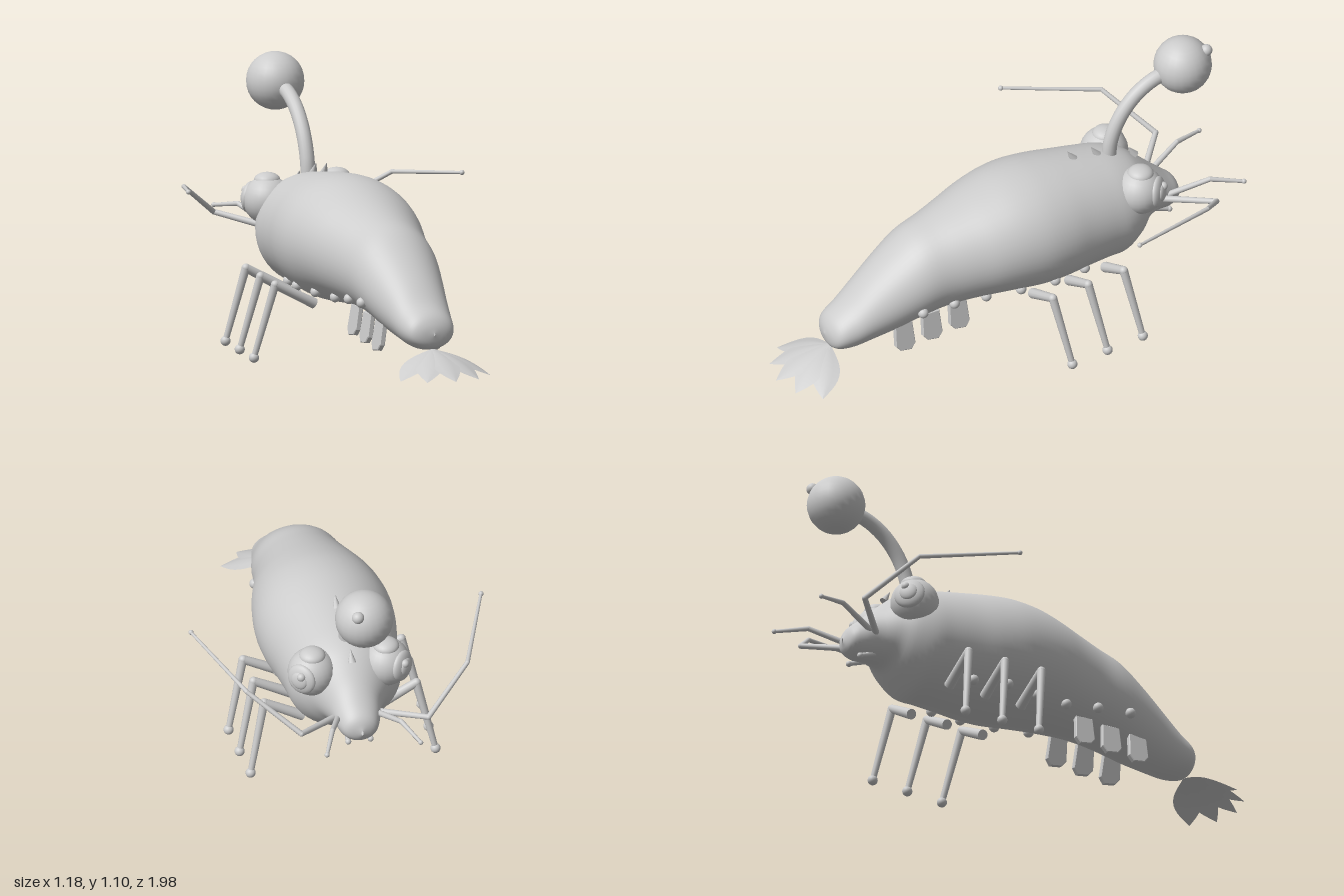
import * as THREE from 'three';

const shell = new THREE.MeshStandardMaterial({ color: 0xcccccc, side: THREE.DoubleSide });
shell.name = 'shellGrey';

// body sections: z, top, bottom, half width
const SECTIONS = [
  [0.775, 0.235, 0.225, 0.002], [0.765, 0.27, 0.185, 0.06], [0.74, 0.305, 0.167, 0.095], [0.68, 0.35, 0.16, 0.113],
  [0.6, 0.425, 0.17, 0.13], [0.5, 0.51, 0.19, 0.155], [0.4, 0.582, 0.217, 0.177], [0.3, 0.62, 0.235, 0.19],
  [0.2, 0.656, 0.242, 0.215], [0.1, 0.69, 0.242, 0.245], [0, 0.717, 0.235, 0.265], [-0.1, 0.727, 0.226, 0.275],
  [-0.2, 0.722, 0.226, 0.268], [-0.3, 0.71, 0.233, 0.25], [-0.4, 0.695, 0.24, 0.236], [-0.48, 0.68, 0.245, 0.225],
  [-0.55, 0.655, 0.295, 0.195], [-0.6, 0.62, 0.34, 0.15], [-0.66, 0.565, 0.35, 0.105], [-0.72, 0.51, 0.35, 0.085],
  [-0.765, 0.47, 0.37, 0.06], [-0.785, 0.425, 0.405, 0.004],
];
const V = (x, y, z) => new THREE.Vector3(x, y, z);

function add(parent, name, geometry) {
  const mesh = new THREE.Mesh(geometry, shell);
  mesh.name = name;
  parent.add(mesh);
  return mesh;
}

function ball(parent, name, p, r, squash = [1, 1, 1]) {
  const mesh = add(parent, name, new THREE.SphereGeometry(r, 24, 16));
  mesh.position.copy(p);
  mesh.scale.set(...squash);
  return mesh;
}

// straight tapered rod from a to b
function rod(parent, name, a, b, ra, rb) {
  const mesh = add(parent, name, new THREE.CylinderGeometry(rb, ra, a.distanceTo(b), 12));
  mesh.position.copy(a).lerp(b, 0.5);
  mesh.quaternion.setFromUnitVectors(V(0, 1, 0), b.clone().sub(a).normalize());
  return mesh;
}

// jointed limb through points, with a rounded joint at each bend and a ball at the tip
function limb(parent, name, points, radii, tip) {
  const group = new THREE.Group();
  group.name = name;
  parent.add(group);
  for (let i = 1; i < points.length; i++) {
    rod(group, 'segment', points[i - 1], points[i], radii[i - 1], radii[i]);
    const last = i === points.length - 1;
    ball(group, last ? 'tip' : 'joint', points[i], last ? tip : radii[i]);
  }
}

// smooth elliptical loft through the sections
function bodyGeometry() {
  const outline = new THREE.CatmullRomCurve3(SECTIONS.map(s => V(s[0], s[1], s[2])), false, 'catmullrom');
  const width = new THREE.CatmullRomCurve3(SECTIONS.map(s => V(s[3], 0, 0)), false, 'catmullrom');
  const rings = 84, sides = 48, pos = [], idx = [];
  for (let i = 0; i <= rings; i++) {
    const o = outline.getPoint(i / rings), w = width.getPoint(i / rings).x;
    for (let j = 0; j < sides; j++) {
      const a = (j / sides) * Math.PI * 2;
      pos.push(w * Math.cos(a), (o.y + o.z) / 2 + ((o.y - o.z) / 2) * Math.sin(a), o.x);
      if (i === rings) continue;
      const k = (j + 1) % sides, p = i * sides;
      idx.push(p + j, p + sides + j, p + k, p + k, p + sides + j, p + sides + k);
    }
  }
  const g = new THREE.BufferGeometry();
  g.setAttribute('position', new THREE.Float32BufferAttribute(pos, 3));
  g.setIndex(idx);
  g.computeVertexNormals();
  return g;
}

// half width of the body at a given z and height
function surfaceX(z, y) {
  const i = SECTIONS.findIndex(s => s[0] <= z);
  const a = SECTIONS[i - 1], b = SECTIONS[i], t = (z - a[0]) / (b[0] - a[0]);
  const [, top, bottom, w] = a.map((v, k) => v + (b[k] - v) * t);
  const d = (y - (top + bottom) / 2) / ((top - bottom) / 2);
  return w * Math.sqrt(Math.max(0, 1 - d * d));
}

// pointed leaf with a raised midrib, running along +z and dropping
function petalGeometry(length) {
  const g = new THREE.PlaneGeometry(2, 1, 4, 12), p = g.attributes.position;
  for (let i = 0; i < p.count; i++) {
    const u = p.getX(i), v = p.getY(i) + 0.5;
    const w = 0.008 * (1 - v) + 0.052 * Math.sin(Math.PI * Math.pow(v, 1.15));
    p.setXYZ(i, u * w, -0.095 * Math.pow(v, 1.2) + 0.01 * (1 - Math.abs(u)) * Math.sin(Math.PI * v), v * length);
  }
  g.computeVertexNormals();
  return g;
}

// swimming paddle: tapered plate hanging down, thin across x
function paddleGeometry() {
  const s = new THREE.Shape();
  s.moveTo(-0.035, 0.05);
  s.lineTo(0.035, 0.05);
  s.lineTo(0.038, -0.04);
  s.lineTo(0.02, -0.062);
  s.lineTo(-0.025, -0.068);
  s.lineTo(-0.042, -0.045);
  const g = new THREE.ExtrudeGeometry(s, { depth: 0.016, bevelEnabled: true, bevelSize: 0.003, bevelThickness: 0.003, bevelSegments: 1 });
  g.translate(0, 0, -0.008);
  g.rotateY(-Math.PI / 2);
  return g;
}

export function createModel() {
  const model = new THREE.Group();
  model.name = 'shrimp';
  add(model, 'body', bodyGeometry());

  // lure on its curved stalk
  const stalk = new THREE.CatmullRomCurve3([V(0, 0.64, -0.485), V(0, 0.73, -0.495), V(0, 0.83, -0.535),
    V(0, 0.915, -0.605), V(0, 0.965, -0.69), V(0, 0.98, -0.78)]);
  add(model, 'lureStalk', new THREE.TubeGeometry(stalk, 32, 0.029, 16));
  ball(model, 'lureBulb', V(0, 0.992, -0.813), 0.115);
  ball(model, 'lureSpot', V(0.043, 1.06, -0.895), 0.024);

  // dorsal thorns leaning towards the tail
  for (const [z, y] of [[-0.315, 0.722], [-0.42, 0.706], [-0.585, 0.65]]) {
    const thorn = add(model, 'thorn', new THREE.ConeGeometry(0.017, 0.055, 10));
    thorn.position.set(0, y, z);
    thorn.rotation.x = 0.55;
  }

  // tail fan
  for (let i = -2; i <= 2; i++) {
    const petal = add(model, 'tailPetal', petalGeometry(0.235 - Math.abs(i) * 0.002));
    petal.position.set(0, 0.17 - Math.abs(i) * 0.001, 0.753);
    petal.rotation.y = i * 0.49;
  }

  for (const s of [1, -1]) {
    const side = s > 0 ? 'left' : 'right';
    const P = (x, y, z) => V(s * x, y, z);

    // eye: ball, lid cap, iris, pupil and glint
    const centre = P(0.148, 0.57, -0.543), look = P(0.68, 0.1, -0.68).normalize();
    ball(model, side + 'Eye', centre, 0.096);
    ball(model, side + 'EyeCap', P(0.148, 0.648, -0.548), 0.052, [1, 0.6, 1]);
    const discs = [['Iris', 0.062, 0.076, 0.4], ['Pupil', 0.036, 0.094, 0.4]];
    for (const [name, r, d, flat] of discs) {
      const disc = ball(model, side + name, centre.clone().addScaledVector(look, d), r, [1, 1, flat]);
      disc.quaternion.setFromUnitVectors(V(0, 0, 1), look);
    }
    ball(model, side + 'Glint', P(0.208, 0.602, -0.618), 0.017);

    // antennae and mouthparts
    limb(model, side + 'LongAntenna', [P(0.06, 0.43, -0.66), P(0.255, 0.485, -0.828), P(0.443, 0.62, -0.688),
      P(0.582, 0.665, -0.315)], [0.014, 0.011, 0.009, 0.006], 0.01);
    limb(model, side + 'ShortAntenna', [P(0.065, 0.43, -0.66), P(0.138, 0.505, -0.86), P(0.188, 0.484, -0.985)],
      [0.013, 0.01, 0.007], 0.01);
    limb(model, side + 'Mouthpart', [P(0.04, 0.37, -0.66), P(0.045, 0.345, -0.73)], [0.012, 0.009], 0.012);

    // walking legs
    for (let i = 0; i < 3; i++) {
      const z = -0.07 - i * 0.16, y = i * 0.008;
      limb(model, side + 'Leg', [P(0.15, 0.232 + y, z), P(0.318 - i * 0.006, 0.318 + y, z),
        P(0.387 - i * 0.008, 0.025 + y, z - 0.05)], [0.021, 0.017, 0.012], 0.02);
    }

    // swimming paddles under the abdomen
    for (let i = 0; i < 3; i++) {
      const paddle = add(model, side + 'Paddle', paddleGeometry());
      paddle.position.set(s * 0.108, 0.196 + i * 0.012, 0.48 - i * 0.12);
      paddle.rotation.z = s * 0.15;
    }

    // row of beads along the flank
    const beadHeights = [0.29, 0.295, 0.29, 0.29, 0.305, 0.312];
    beadHeights.forEach((y, i) => {
      const z = -0.29 + i * 0.142;
      ball(model, side + 'Bead', P(surfaceX(z, y) + 0.004, y, z), 0.021);
    });
  }
  return model;
}
